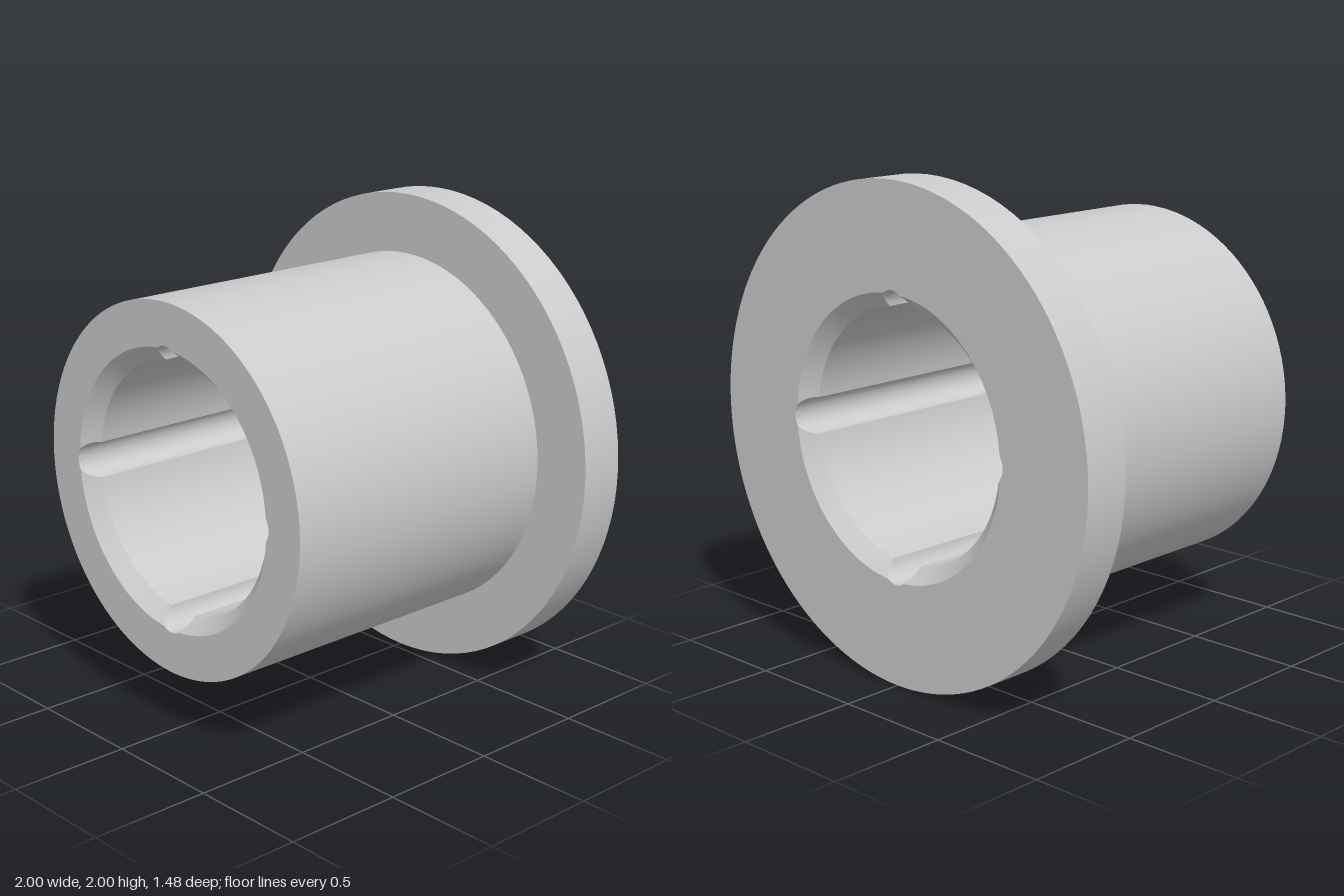
import * as THREE from 'three';
import { toCreasedNormals } from 'three/addons/utils/BufferGeometryUtils.js';

const HALF = 0.74, FLANGE_Z = -0.54, SLEEVE_R = 0.753, FLANGE_R = 1;
const BORE_R = 0.51, MOUTH_R = 0.57, CHAMFER = 0.06;
const GROOVE_R = 0.075, GROOVE_C = 0.508; // groove radius and its distance from the axis
const SEGMENTS = 96;

// Outline of a round hole of radius r with four round grooves, counter-clockwise
function holeOutline(r) {
  const a = Math.acos((r * r + GROOVE_C ** 2 - GROOVE_R ** 2) / (2 * r * GROOVE_C));
  const phi = Math.atan2(r * Math.sin(a), r * Math.cos(a) - GROOVE_C);
  const origin = new THREE.Vector2(), pts = [];
  for (let q = 0; q < 4; q++) {
    const turn = q * Math.PI / 2;
    for (let i = 0; i <= 16; i++) {
      const t = -phi + 2 * phi * i / 16;
      pts.push(new THREE.Vector2(GROOVE_C + GROOVE_R * Math.cos(t), GROOVE_R * Math.sin(t)).rotateAround(origin, turn));
    }
    for (let i = 1; i < 24; i++) {
      const t = turn + a + (Math.PI / 2 - 2 * a) * i / 24;
      pts.push(new THREE.Vector2(r * Math.cos(t), r * Math.sin(t)));
    }
  }
  return pts;
}

// Inner wall: chamfered at both ends, lofted through hole outlines from front to back
function boreGeometry() {
  const stations = [], steps = 6;
  for (let i = 0; i <= steps; i++) {
    const t = i / steps;
    stations.push([MOUTH_R + (BORE_R - MOUTH_R) * t, HALF - CHAMFER * t]);
  }
  stations.push(...stations.map(([r, z]) => [r, -z]).reverse());
  const positions = [], index = [], n = holeOutline(BORE_R).length;
  stations.forEach(([r, z], s) => {
    holeOutline(r).forEach((p, j) => {
      positions.push(p.x, p.y, z);
      if (s === stations.length - 1) return;
      const k = (j + 1) % n, a = s * n + j, b = s * n + k;
      index.push(a, b, a + n, b, b + n, a + n);
    });
  });
  const geo = new THREE.BufferGeometry();
  geo.setAttribute('position', new THREE.Float32BufferAttribute(positions, 3));
  geo.setIndex(index);
  return geo;
}

// Flat end face around the grooved hole
function endFace(radius) {
  const shape = new THREE.Shape().absarc(0, 0, radius, 0, Math.PI * 2);
  shape.holes.push(new THREE.Path(holeOutline(MOUTH_R)));
  return new THREE.ShapeGeometry(shape, SEGMENTS);
}

// Outer wall turned about the z axis from [radius, z] points
function turned(points) {
  return new THREE.LatheGeometry(points.map(([r, z]) => new THREE.Vector2(r, z)), SEGMENTS).rotateX(Math.PI / 2);
}

export function createModel() {
  const model = new THREE.Group();
  model.name = 'flangedBushing';
  const material = new THREE.MeshStandardMaterial({ color: 0xcccccc });
  const add = (name, geo) => {
    const mesh = new THREE.Mesh(toCreasedNormals(geo, 0.45), material);
    mesh.name = name;
    mesh.position.y = 1;
    model.add(mesh);
  };

  add('sleeve', turned([[SLEEVE_R, FLANGE_Z], [SLEEVE_R, HALF]]));
  add('flange', turned([[FLANGE_R, -HALF], [FLANGE_R, FLANGE_Z], [SLEEVE_R, FLANGE_Z]]));
  add('frontFace', endFace(SLEEVE_R).translate(0, 0, HALF));
  add('backFace', endFace(FLANGE_R).rotateY(Math.PI).translate(0, 0, -HALF));
  add('groovedBore', boreGeometry());
  return model;
}
